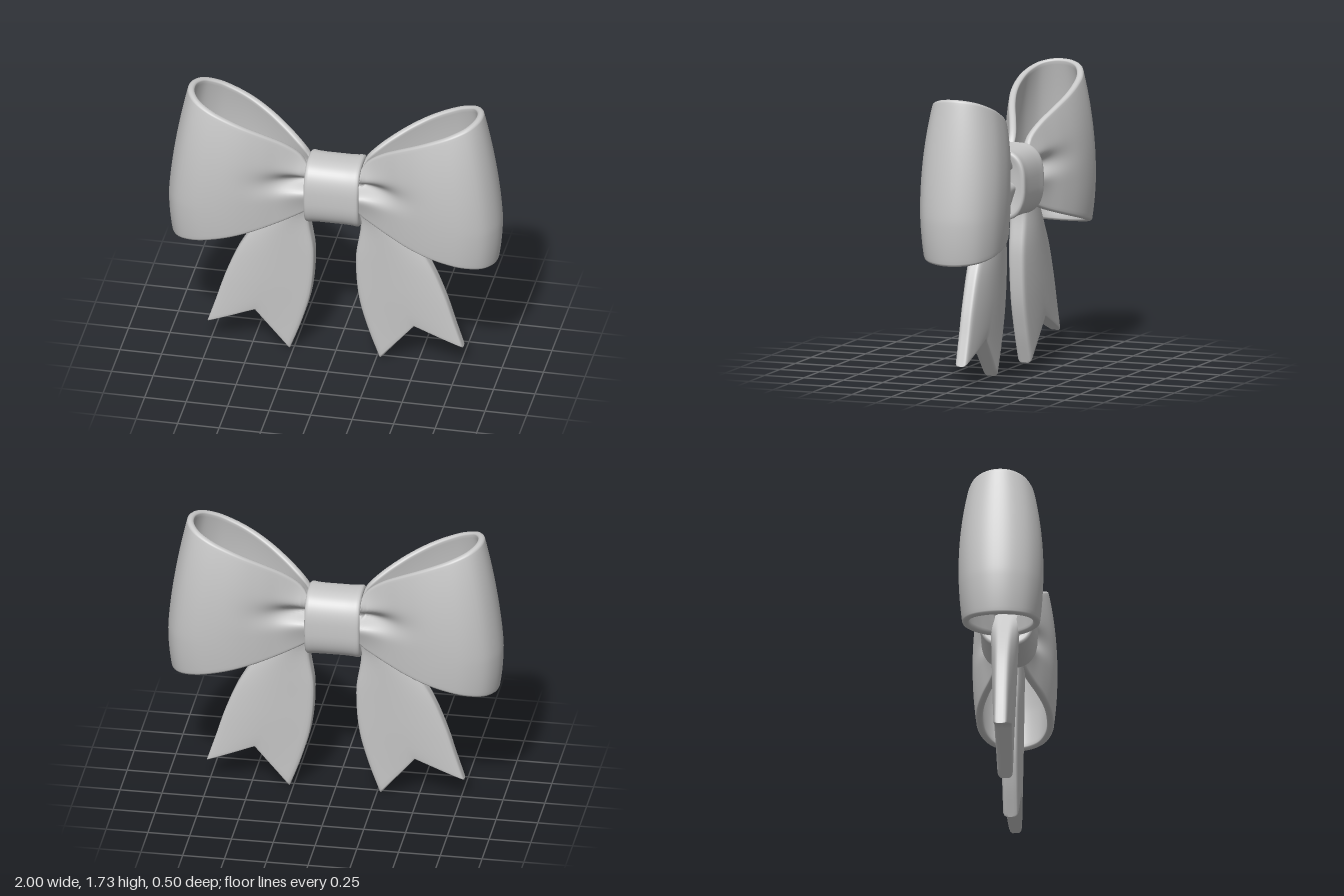
import * as THREE from 'three';

const ribbon = new THREE.MeshStandardMaterial({ color: 0xc8c8c8 });
ribbon.name = 'ribbonGrey';

// Skin a list of closed cross-sections (arrays of Vector3), facing outwards
function loft(rows, name) {
  const n = rows[0].length, pos = [], idx = [];
  for (const row of rows) for (const p of row) pos.push(p.x, p.y, p.z);
  for (let i = 0; i < rows.length - 1; i++)
    for (let j = 0; j < n; j++) {
      const a = i * n + j, b = i * n + (j + 1) % n;
      idx.push(a, b, a + n, b, b + n, a + n);
    }
  // signed volume measured from the centre of the first section
  const all = rows.flat(), c = new THREE.Vector3(), q = new THREE.Vector3();
  rows[0].forEach(p => c.addScaledVector(p, 1 / n));
  const rel = all.map(p => p.clone().sub(c));
  let volume = 0;
  for (let k = 0; k < idx.length; k += 3)
    volume += rel[idx[k]].dot(q.crossVectors(rel[idx[k + 1]], rel[idx[k + 2]]));
  if (volume < 0) idx.reverse();
  const g = new THREE.BufferGeometry();
  g.setAttribute('position', new THREE.Float32BufferAttribute(pos, 3));
  g.setIndex(idx);
  g.computeVertexNormals();
  const mesh = new THREE.Mesh(g, ribbon);
  mesh.name = name;
  return mesh;
}

const bell = (x, w) => Math.exp(-((x / w) ** 2));
const spline = pts => new THREE.CatmullRomCurve3(pts.map(([x, y, z = 0]) => new THREE.Vector3(x, y, z)));

// Teardrop path of a loop seen from above, front half mirrored to the back
const half = [[0.1, 0.07], [0.2, 0.085], [0.32, 0.135], [0.45, 0.195], [0.58, 0.237],
  [0.7, 0.25], [0.82, 0.237], [0.93, 0.178], [0.985, 0.09]];
const loopPath = spline([
  ...half.map(([x, z]) => [x, 0, z]), [1, 0, 0],
  ...half.slice().reverse().map(([x, z]) => [x, 0, -z])]);

// One point of the loop: u along the ribbon, v across it, d depth below the outer face
function loopPoint(side, p, t, v, d, lip) {
  const reach = v > 0.25 ? 1 - 0.11 * ((v - 0.25) / 0.75) ** 1.4 : 1 - 0.02 * ((0.25 - v) / 0.25) ** 2;
  const depth = v > 0.4 ? 1 - 0.19 * ((v - 0.4) / 0.6) ** 2 : 1 - 0.08 * ((0.4 - v) / 0.4) ** 2;
  const x = 0.15 + (p.x - 0.15) * (reach - 0.15) / 0.85;
  const k = Math.max(0, x - 0.155);
  const top = 1.27 + 0.447 * (k / 0.735) ** 0.6;
  const bottom = 1.015 - 0.25 * (k / 0.825) ** 0.65;
  const y = THREE.MathUtils.lerp(bottom, top, v);
  // gathered folds with a crease beside the knot
  const folds = bell(k, 0.15) * 0.04 * bell(y - 1.16, 0.12)
    - bell(k, 0.2) * 0.1 * bell(y - 1.175 - k * 0.1, 0.035 + k * 0.12);
  const s = Math.sign(p.z);
  let z = Math.abs(p.z) * depth;
  if (k < 0.6) z = Math.max(0.02, z + folds);
  z = k < 0.6 ? Math.max(0.004, z - s * t.x * d) : z - s * t.x * d;
  return new THREE.Vector3(side * (x + t.z * d), y + lip, (s || 1) * z);
}

function makeLoop(side) {
  const rows = [], N = 80, M = 44, E = 6, T = 0.042;
  for (let i = 0; i <= N; i++) {
    const p = loopPath.getPointAt(i / N), t = loopPath.getTangentAt(i / N), row = [];
    if (i === N / 2) p.z = 0;
    const add = (v, d, lip) => row.push(loopPoint(side, p, t, v, d, lip));
    for (let j = 0; j <= M; j++) add(j / M, 0, 0);
    for (let j = 1; j < E; j++) {
      const a = j / E * Math.PI;
      add(1, T / 2 * (1 - Math.cos(a)), 0.016 * Math.sin(a));
    }
    for (let j = M; j >= 0; j--) add(j / M, T, 0);
    for (let j = 1; j < E; j++) {
      const a = j / E * Math.PI;
      add(0, T / 2 * (1 + Math.cos(a)), -0.016 * Math.sin(a));
    }
    rows.push(row);
  }
  return loft(rows, side > 0 ? 'leftLoop' : 'rightLoop');
}

// Hanging tail: swept between an inner and an outer edge, with a notched end
const tailInner = spline([[0.09, 1.1], [0.155, 0.95], [0.127, 0.68], [0.145, 0.41], [0.2, 0.2], [0.272, 0]]);
const tailOuter = spline([[0.2, 1.1], [0.4, 0.92], [0.56, 0.7], [0.66, 0.47], [0.72, 0.28], [0.77, 0.125]]);

function makeTail(side) {
  const rows = [], M = 24, N = 32;
  const steps = Array.from({ length: N }, (_, i) => [0.985 * i / (N - 1), 1]);
  steps.push([0.994, 0.93], [1, 0.75], [1, 0.4], [1, 0]);
  for (const [t, thin] of steps) {
    const a = tailInner.getPoint(t), b = tailOuter.getPoint(t), row = [];
    const add = (s, z) => {
      const notch = (1 - Math.abs(2 * s - 1)) * t ** 4;
      const p = a.clone().lerp(b, s);
      row.push(new THREE.Vector3(side * (p.x - 0.04 * notch), p.y + 0.19 * notch, z * thin));
    };
    const thick = s => {
      const edge = 0.045 - 0.01 * s, mid = 0.092 - 0.042 * t;
      return edge + Math.max(0, mid - edge) * Math.sin(Math.PI * s) ** 0.8;
    };
    const across = [[0, 0.35], [0, 0.75], [0.012, 0.93]];
    for (let j = 1; j < M; j++) across.push([j / M, 1]);
    across.push([0.988, 0.93], [1, 0.75], [1, 0.35]);
    for (const [s, f] of across) add(s, thick(s) * f);
    for (const [s, f] of across.reverse()) add(s, -thick(s) * f);
    rows.push(row);
  }
  return loft(rows, side > 0 ? 'leftTail' : 'rightTail');
}

// Knot: soft oval band with rounded rims
function makeKnot() {
  const rim = [[0.13, 0.2], [0.15, 0.075], [0.16, 0.035], [0.165, 0.02], [0.163, 0.008], [0.154, 0.001],
    [0.14, 0], [0.12, 0.003], [0.07, 0.005]];
  const profile = [...rim.map(([x, d]) => [-x, d]), [0, 0.005], ...rim.slice().reverse()];
  const power = (c, e) => Math.sign(c) * Math.abs(c) ** e;
  const rows = profile.map(([x, d]) => Array.from({ length: 64 }, (_, j) => {
    const a = j / 64 * Math.PI * 2;
    const f = Math.max(0, 1 - d / 0.2);
    return new THREE.Vector3(x, 1.123 + 0.212 * f * power(Math.sin(a), 0.75), 0.168 * f * power(Math.cos(a), 0.75));
  }));
  return loft(rows, 'knot');
}

export function createModel() {
  const bow = new THREE.Group();
  bow.name = 'ribbonBow';
  bow.add(makeKnot());
  for (const side of [1, -1]) bow.add(makeLoop(side), makeTail(side));
  return bow;
}
